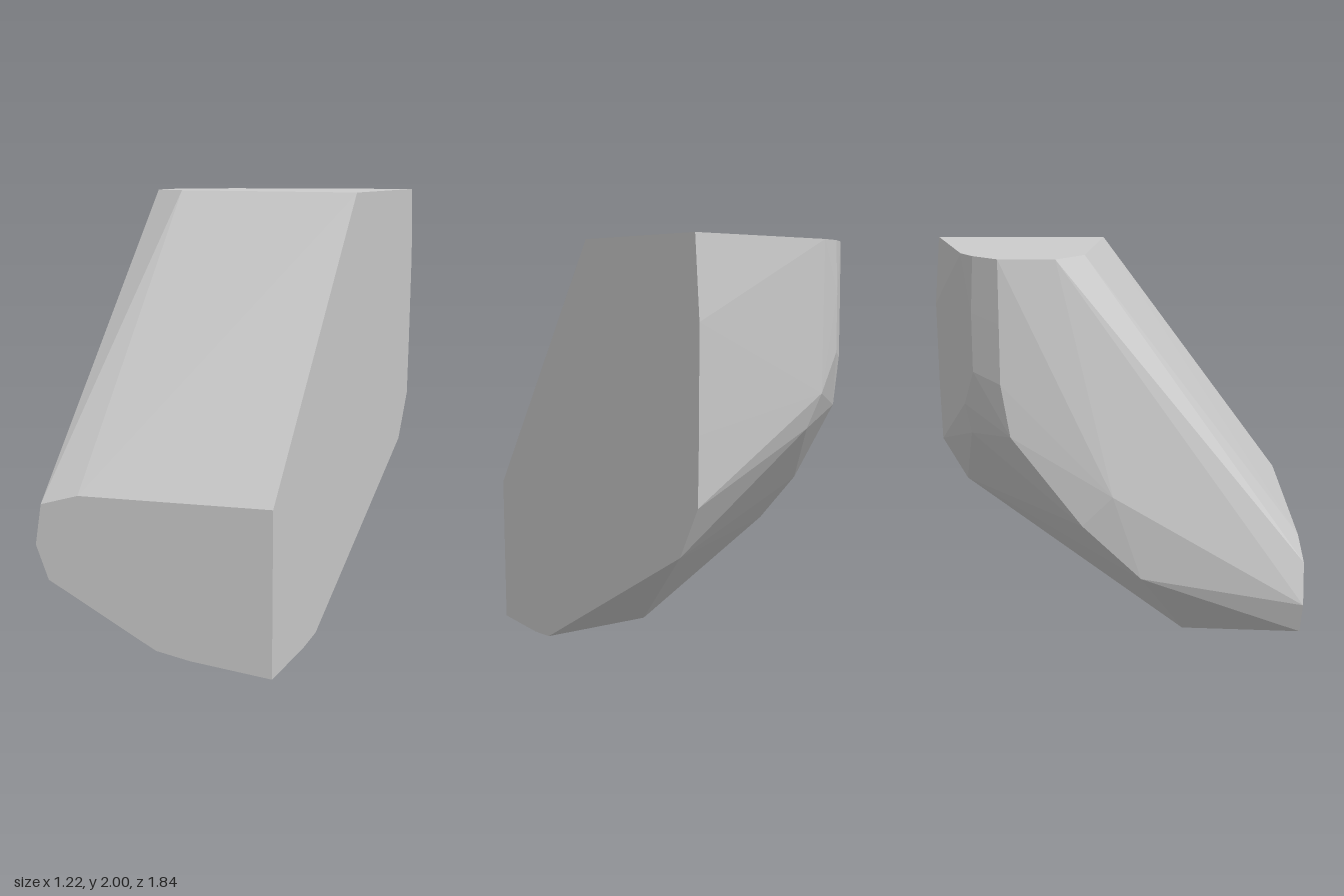
import * as THREE from 'three';
import { ConvexGeometry } from 'three/addons/geometries/ConvexGeometry.js';

export function createModel() {
  const group = new THREE.Group();
  group.name = 'rockFragment';
  const stone = new THREE.MeshStandardMaterial({ color: 0xcccccc });
  stone.name = 'grey stone';

  const points = [];
  const add = (list, toPoint) => list.forEach(([a, b]) => points.push(toPoint(a, b)));

  // flat cut side at x = 0.61, as z, y
  add([[0.92, 0], [0.92, 0.745], [-0.02, 2], [-0.89, 2], [-0.92, 1.65], [-0.917, 1.2],
    [-0.91, 0.9], [-0.78, 0.67], [0.42, 0.015], [0.57, 0]],
  (z, y) => new THREE.Vector3(0.61, y, z));

  // flat front at z = 0.92, as x, y
  add([[-0.34, 0.682], [-0.54, 0.617], [-0.575, 0.42], [-0.51, 0.26], [0.05, 0.02], [0.22, 0.005]],
    (x, y) => new THREE.Vector3(x, y, 0.92));

  // flat top at y = 2, as x, z
  add([[-0.34, -0.09], [-0.54, -0.21], [-0.54, -0.46], [-0.4, -0.585], [-0.27, -0.655]],
    (x, z) => new THREE.Vector3(x, 2, z));

  // rounded outer side, back and underside
  [[-0.61, 0.95, 0.04], [-0.542, 1.72, -0.46], [-0.542, 1.45, -0.46], [-0.545, 1.21, -0.42],
    [-0.57, 0.8, -0.1], [-0.56, 0.54, 0.17], [-0.51, 0.28, 0.86],
    [-0.4, 1.75, -0.598], [-0.4, 1.48, -0.598], [-0.26, 1.3, -0.66], [-0.19, 1.14, -0.64],
    [0.05, 0.02, 0.4]].forEach((p) => points.push(new THREE.Vector3(...p)));

  const body = new THREE.Mesh(new ConvexGeometry(points), stone);
  body.name = 'facetedBody';
  group.add(body);
  return group;
}
